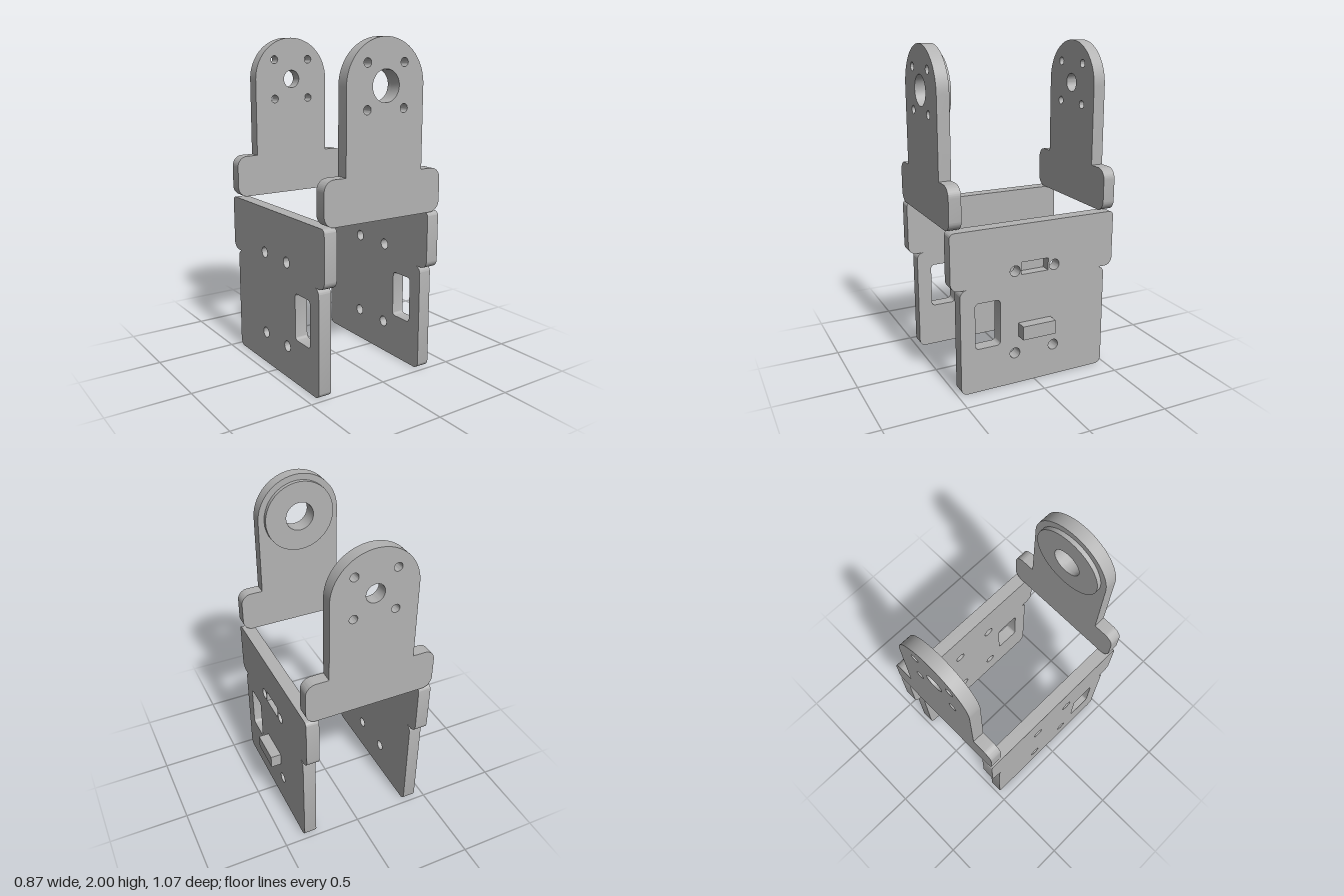
import * as THREE from 'three';
import { toCreasedNormals } from 'three/addons/utils/BufferGeometryUtils.js';

const CX = -0.035; // centre line of the frame

// Trace a closed outline of [x, y, cornerRadius] points with rounded corners
function trace(path, pts) {
  const n = pts.length;
  pts.forEach(([x, y, r = 0], i) => {
    const toward = ([px, py]) => {
      const d = Math.hypot(px - x, py - y);
      return [x + ((px - x) * r) / d, y + ((py - y) * r) / d];
    };
    const a = toward(pts[(i + n - 1) % n]);
    const b = toward(pts[(i + 1) % n]);
    if (i === 0) path.moveTo(a[0], a[1]);
    else path.lineTo(a[0], a[1]);
    if (r > 0) {
      // cubic approximation of a quarter circle
      const k = 0.5523;
      path.bezierCurveTo(
        a[0] + (x - a[0]) * k, a[1] + (y - a[1]) * k,
        b[0] + (x - b[0]) * k, b[1] + (y - b[1]) * k, b[0], b[1]);
    }
  });
  path.closePath();
  return path;
}

function roundHole(shape, x, y, r) {
  shape.holes.push(new THREE.Path().absarc(x, y, r, 0, Math.PI * 2, true));
}

function rectHole(shape, x0, y0, x1, y1, r = 0) {
  shape.holes.push(trace(new THREE.Path(), [[x0, y0, r], [x0, y1, r], [x1, y1, r], [x1, y0, r]]));
}

function extrude(shape, depth) {
  const g = new THREE.ExtrudeGeometry(shape, { depth, bevelEnabled: false, curveSegments: 20 });
  return toCreasedNormals(g, 0.6);
}

// Upright bracket: wide foot and round-topped tab
function bracketShape(boreRadius) {
  const s = new THREE.Shape();
  const w = 0.4, t = 0.26, r = 0.065, y0 = 1.003, y1 = 1.263, cy = 1.74;
  const k = 0.5523 * r;
  s.moveTo(CX - w + r, y0);
  s.lineTo(CX + w - r, y0);
  s.bezierCurveTo(CX + w - r + k, y0, CX + w, y0 + r - k, CX + w, y0 + r);
  s.lineTo(CX + w, y1 - r);
  s.bezierCurveTo(CX + w, y1 - r + k, CX + w - r + k, y1, CX + w - r, y1);
  s.lineTo(CX + t, y1);
  s.lineTo(CX + t, cy);
  s.absarc(CX, cy, t, 0, Math.PI, false);
  s.lineTo(CX - t, y1);
  s.lineTo(CX - w + r, y1);
  s.bezierCurveTo(CX - w + r - k, y1, CX - w, y1 - r + k, CX - w, y1 - r);
  s.lineTo(CX - w, y0 + r);
  s.bezierCurveTo(CX - w, y0 + r - k, CX - w + r - k, y0, CX - w + r, y0);
  roundHole(s, CX, cy, boreRadius);
  for (const dx of [-0.124, 0.124])
    for (const dy of [-0.124, 0.124]) roundHole(s, CX + dx, cy + dy, 0.025);
  return s;
}

// Side panel, drawn with its horizontal axis along -z
function panelShape(withSlot) {
  const u = 0.535, v = 0.478, m = 0.655, neck = 0.435;
  const s = trace(new THREE.Shape(), [
    [-v, 0, 0.04], [v, 0, 0.04], [v, m, 0.043], [neck, m], [u, m, 0.05], [u, 1, 0.028],
    [-u, 1, 0.028], [-u, m, 0.05], [-neck, m], [-v, m, 0.043],
  ]);
  rectHole(s, -0.386, 0.275, -0.226, 0.56, 0.022);
  for (const x of [-0.13, 0.13]) for (const y of [0.2, 0.72]) roundHole(s, x, y, 0.033);
  if (withSlot) rectHole(s, -0.09, 0.692, 0.088, 0.768);
  return s;
}

export function createModel() {
  const model = new THREE.Group();
  model.name = 'servoFrame';
  const grey = new THREE.MeshStandardMaterial({ color: 0xb3b3b3 });
  grey.name = 'plain grey';

  const add = (name, geometry, x = 0, y = 0, z = 0) => {
    const mesh = new THREE.Mesh(geometry, grey);
    mesh.name = name;
    mesh.position.set(x, y, z);
    model.add(mesh);
    return mesh;
  };

  // Front and back brackets
  add('frontBracket', extrude(bracketShape(0.09), 0.075), 0, 0, 0.46);
  add('backBracket', extrude(bracketShape(0.056), 0.075), 0, 0, -0.535);

  // Raised ring on the inner face of the front bracket
  const ring = new THREE.Shape().absarc(0, 0, 0.222, 0, Math.PI * 2, false);
  roundHole(ring, 0, 0, 0.09);
  add('bearingRing', extrude(ring, 0.026), CX, 1.74, 0.434);

  // Side panels
  add('leftPanel', extrude(panelShape(true), 0.08).rotateY(Math.PI / 2), 0.285);
  add('rightPanel', extrude(panelShape(false), 0.08).rotateY(Math.PI / 2), -0.435);

  // Slot floor and peg on the left panel
  add('slotFloor', new THREE.BoxGeometry(0.02, 0.076, 0.178), 0.295, 0.73, 0.001);
  add('peg', new THREE.BoxGeometry(0.066, 0.085, 0.216), 0.398, 0.348, 0);

  return model;
}
